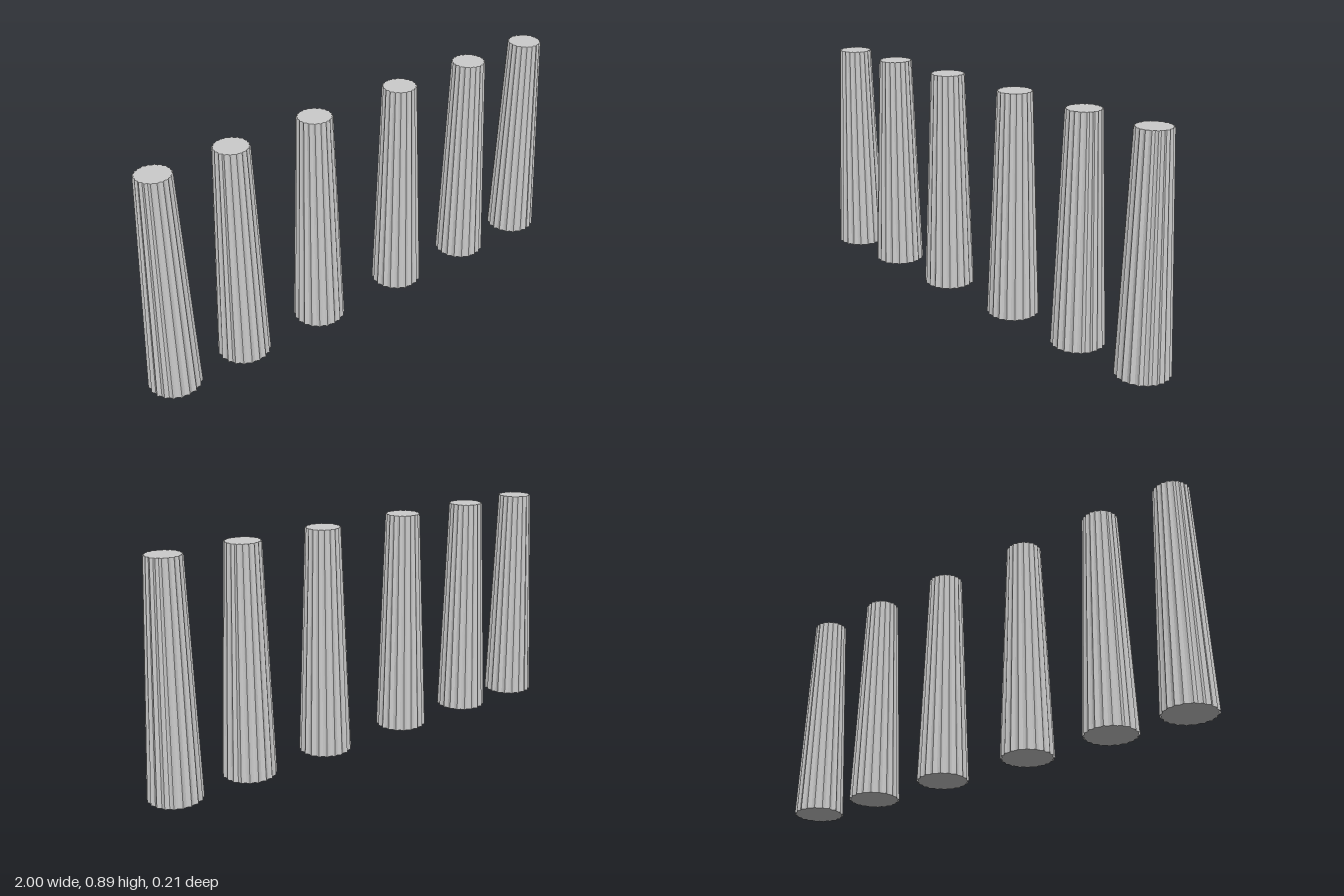
import * as THREE from 'three';

const FLUTES = 20;
const STEPS = 4; // facets per flute
const FLUTE_DEPTH = 0.08; // share of the radius
const HEIGHT = 0.893;
const BOTTOM_RADIUS = 0.103;
const TOP_RADIUS = 0.069;
const JOINTS = [0, 0.093, 0.265, 0.42, 0.577, HEIGHT];
const COLUMN_X = [-0.897, -0.584, -0.217, 0.198, 0.569, 0.897];

const radiusAt = (y) => THREE.MathUtils.lerp(BOTTOM_RADIUS, TOP_RADIUS, y / HEIGHT);

// One tapered stone drum, with concave flutes meeting in sharp ridges
function drumGeometry(y0, y1) {
  const geometry = new THREE.CylinderGeometry(
    radiusAt(y1), radiusAt(y0), y1 - y0, FLUTES * STEPS);
  const p = geometry.attributes.position;
  for (let i = 0; i < p.count; i++) {
    const angle = Math.atan2(p.getX(i), p.getZ(i));
    const k = 1 - FLUTE_DEPTH * Math.abs(Math.sin(angle * FLUTES / 2));
    p.setX(i, p.getX(i) * k);
    p.setZ(i, p.getZ(i) * k);
  }
  geometry.translate(0, (y0 + y1) / 2, 0);
  geometry.computeVertexNormals();
  return geometry;
}

export function createModel() {
  const model = new THREE.Group();
  model.name = 'colonnade';
  const stone = new THREE.MeshStandardMaterial({ color: 0xcccccc, flatShading: true });

  // The drums are shared by all columns
  const drums = JOINTS.slice(1).map((top, i) => drumGeometry(JOINTS[i], top));

  // Row of columns, spaced wider towards the middle
  COLUMN_X.forEach((x, c) => {
    const column = new THREE.Group();
    column.name = `column${c + 1}`;
    column.position.x = x;
    drums.forEach((geometry, d) => {
      const drum = new THREE.Mesh(geometry, stone);
      drum.name = `drum${d + 1}`;
      column.add(drum);
    });
    model.add(column);
  });
  return model;
}
